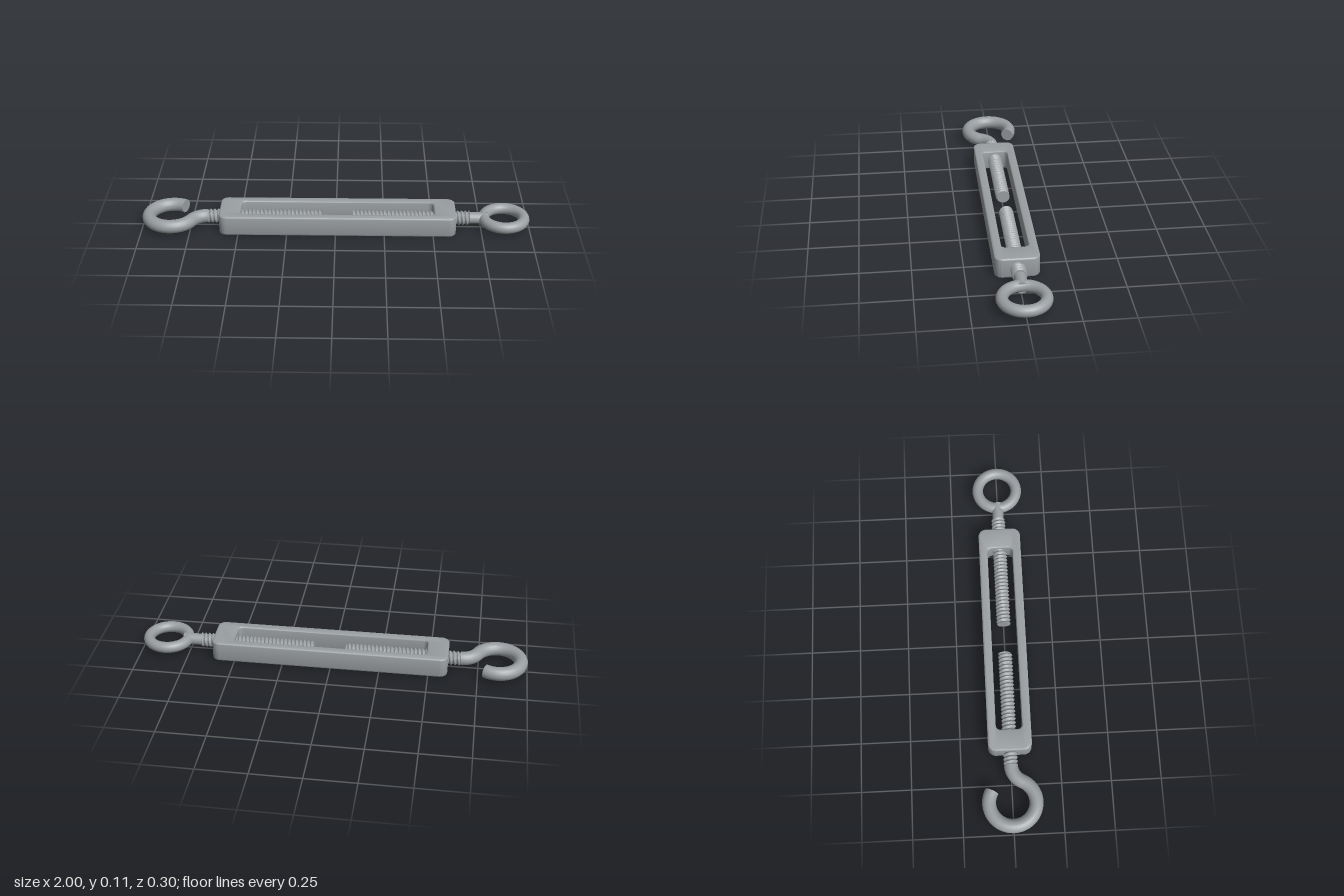
import * as THREE from 'three';
import { toCreasedNormals } from 'three/addons/utils/BufferGeometryUtils.js';

const MID = 0.053; // height of the screw axis

function roundedRect(path, x0, x1, halfZ, r) {
  path.moveTo(x0 + r, -halfZ);
  path.lineTo(x1 - r, -halfZ);
  path.absarc(x1 - r, -halfZ + r, r, -Math.PI / 2, 0);
  path.absarc(x1 - r, halfZ - r, r, 0, Math.PI / 2);
  path.absarc(x0 + r, halfZ - r, r, Math.PI / 2, Math.PI);
  path.absarc(x0 + r, -halfZ + r, r, Math.PI, Math.PI * 1.5);
  return path;
}

// Cylinder along x whose surface is pushed in and out as a helical thread
function threadGeometry(x0, x1) {
  const pitch = 0.02, root = 0.029, crest = 0.037;
  const length = x1 - x0;
  const geo = new THREE.CylinderGeometry(1, 1, length, 18, Math.round(length / pitch) * 6);
  const pos = geo.attributes.position;
  for (let i = 0; i < pos.count; i++) {
    const x = pos.getX(i), y = pos.getY(i), z = pos.getZ(i);
    if (Math.hypot(x, z) < 0.5) continue;
    const turn = y / pitch + Math.atan2(z, x) / (2 * Math.PI);
    const phase = turn - Math.floor(turn);
    const r = root + (crest - root) * Math.min(1, 2.4 * Math.min(phase, 1 - phase));
    pos.setXYZ(i, x * r, y, z * r);
  }
  geo.rotateZ(-Math.PI / 2);
  geo.translate((x0 + x1) / 2, MID, 0);
  return toCreasedNormals(geo, 0.5);
}

export function createModel() {
  const group = new THREE.Group();
  const steel = new THREE.MeshStandardMaterial({ color: 0x9a9fa2 });
  steel.name = 'steel';
  const add = (name, geo, parent = group) => {
    const mesh = new THREE.Mesh(geo, steel);
    mesh.name = name;
    parent.add(mesh);
    return mesh;
  };

  // Slotted frame with softened edges
  const outline = roundedRect(new THREE.Shape(), -0.597, 0.617, 0.11, 0.04);
  outline.closePath();
  outline.holes.push(roundedRect(new THREE.Path(), -0.487, 0.505, 0.066, 0.025));
  const bevel = 0.008;
  const frame = new THREE.ExtrudeGeometry(outline, {
    depth: 0.105 - 2 * bevel, bevelEnabled: true, bevelSize: bevel,
    bevelThickness: bevel, bevelOffset: -bevel, bevelSegments: 3, curveSegments: 8,
  });
  frame.rotateX(-Math.PI / 2);
  frame.translate(0, bevel, 0);
  add('frame', toCreasedNormals(frame, 0.6));

  // Threaded rods
  add('hookThread', threadGeometry(-0.66, -0.07));
  add('eyeThread', threadGeometry(0.09, 0.69));

  // Eye and its shank
  const eye = new THREE.Group();
  eye.name = 'eyeBolt';
  group.add(eye);
  const ring = new THREE.TorusGeometry(0.103, 0.029, 18, 48);
  ring.rotateX(Math.PI / 2);
  ring.translate(0.867, MID, 0);
  add('eyeRing', ring, eye);
  const shank = new THREE.CylinderGeometry(0.03, 0.03, 0.105, 20);
  shank.rotateZ(-Math.PI / 2);
  shank.translate(0.732, MID, 0);
  add('eyeShank', shank, eye);

  // Hook: large open loop flowing into a reverse bend at the rod
  const cx = -0.848, R = 0.117, neckX = -0.66, r = 0.0925;
  const join = Math.atan2(r, neckX - cx);
  const tip = 2 * Math.PI - 1.03;
  const points = [];
  for (let i = 0; i <= 28; i++) {
    const a = tip + (join - tip) * i / 28;
    points.push(new THREE.Vector3(cx + R * Math.cos(a), MID, R * Math.sin(a)));
  }
  for (let i = 1; i <= 8; i++) {
    const a = Math.PI + join + (Math.PI / 2 - join) * i / 8;
    points.push(new THREE.Vector3(neckX + r * Math.cos(a), MID, r + r * Math.sin(a)));
  }
  const hook = new THREE.Group();
  hook.name = 'hookBolt';
  group.add(hook);
  const curve = new THREE.CatmullRomCurve3(points);
  const tube = 0.035;
  add('hookBend', new THREE.TubeGeometry(curve, 72, tube, 18), hook);

  // Flat ends closing the hook
  for (const [name, t, dir] of [['hookTip', 0, -1], ['hookNeckEnd', 1, 1]]) {
    const cap = add(name, new THREE.CircleGeometry(tube, 18), hook);
    cap.position.copy(curve.getPointAt(t));
    const out = curve.getTangentAt(t).multiplyScalar(dir);
    cap.quaternion.setFromUnitVectors(new THREE.Vector3(0, 0, 1), out);
  }
  return group;
}
